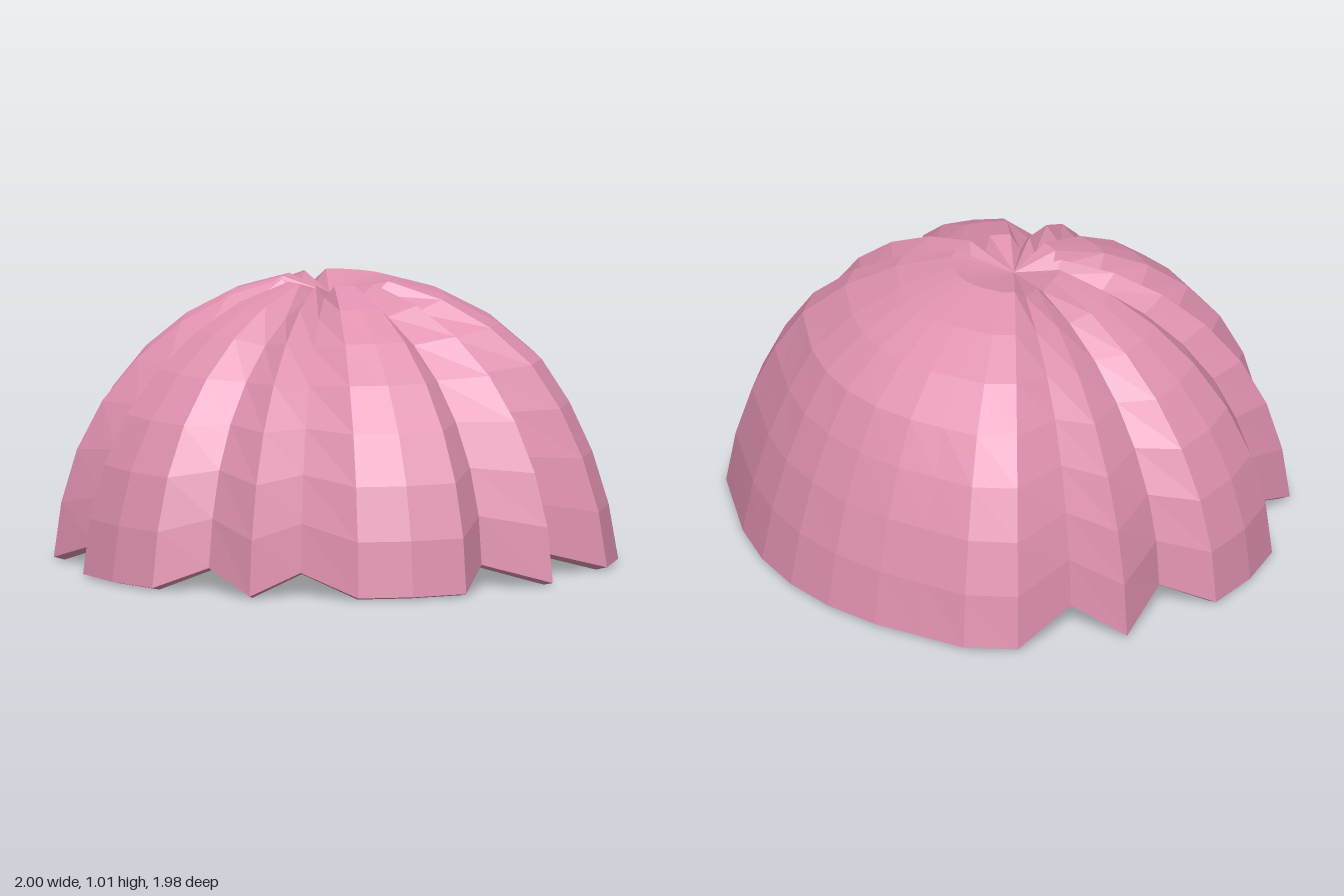
import * as THREE from 'three';

// Half of the rim outline, front to back: [x, z, kind]; V marks the folded-in valleys
const V = true;
const HALF_RIM = [
  [0, 0.99], [0.2, 0.965], [0.33, 0.81, V], [0.565, 0.81], [0.62, 0.62, V],
  [0.84, 0.53], [0.94, 0.36], [1, 0.165], [0.88, 0, V], [1, -0.23],
  [0.81, -0.34, V], [0.845, -0.6], [0.72, -0.75], [0.56, -0.83],
  [0.4, -0.91], [0.2, -0.97], [0, -0.99],
];
const RINGS = 8;
const APEX_Y = 0.96;
// Radial drift of each ring, which leans the crown towards the back
const FRONT_DRIFT = [0, -0.03, -0.022, -0.02, -0.015, -0.01, -0.01, -0.01, 0];
const BACK_DRIFT = [0, 0.03, 0.04, 0.045, 0.04, 0, -0.02, -0.02, 0];

// Section through one rib: outside from apex to rim, then inside back to the apex
function ribSection([x, z, valley]) {
  const radius = Math.hypot(x, z);
  const facing = z / radius;
  const outer = [];
  const inner = [];
  for (let k = 0; k <= RINGS; k++) {
    const a = (k / RINGS) * Math.PI / 2;
    const drift = (facing > 0 ? FRONT_DRIFT : BACK_DRIFT)[k] * Math.abs(facing);
    const r = k === 0 ? 0 : radius * Math.sin(a) + drift;
    const dome = 0.01 + 1.02 * Math.cos(a);
    const y = k === 0 ? APEX_Y : valley ? 0.075 + 0.88 * dome : dome;
    const point = (s, drop) => new THREE.Vector3(x / radius * r * s, y - drop, z / radius * r * s);
    outer.push(point(1, 0));
    inner.unshift(point(0.96, 0.01 + 0.03 * Math.cos(a)));
  }
  return [...outer, ...inner];
}

// Join neighbouring ribs into one closed pleated shell
function pleatedShell(ribs) {
  const positions = [];
  const triangle = (a, b, c) => {
    if (a.equals(b) || b.equals(c) || c.equals(a)) return;
    for (const p of [a, b, c]) positions.push(p.x, p.y, p.z);
  };
  ribs.forEach((rib, j) => {
    const next = ribs[(j + 1) % ribs.length];
    for (let k = 0; k < rib.length - 1; k++) {
      triangle(rib[k], rib[k + 1], next[k + 1]);
      triangle(rib[k], next[k + 1], next[k]);
    }
  });
  const geometry = new THREE.BufferGeometry();
  geometry.setAttribute('position', new THREE.Float32BufferAttribute(positions, 3));
  geometry.computeVertexNormals();
  return geometry;
}

export function createModel() {
  const group = new THREE.Group();
  group.name = 'pleatedDome';

  // Mirror the half outline to get the full ring of ribs
  const mirrored = HALF_RIM.slice(1, -1).reverse().map(([x, z, v]) => [-x, z, v]);
  const ribs = [...HALF_RIM, ...mirrored].map(ribSection);

  const material = new THREE.MeshStandardMaterial({ color: 0xe091b0, flatShading: true });
  const shell = new THREE.Mesh(pleatedShell(ribs), material);
  shell.name = 'domeShell';
  group.add(shell);
  return group;
}
